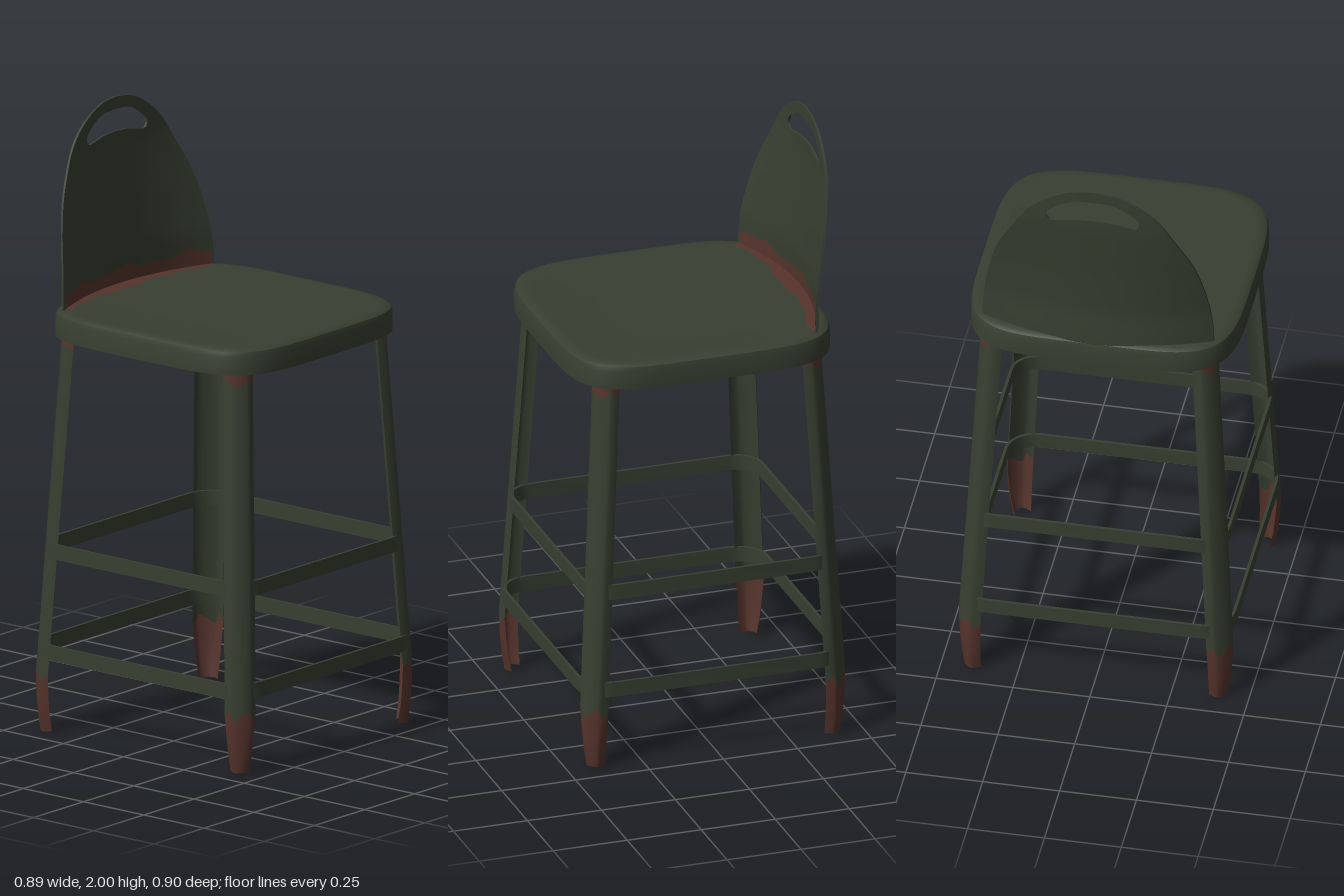
import * as THREE from 'three';
import { toCreasedNormals } from 'three/addons/utils/BufferGeometryUtils.js';

const V = (x, y, z) => new THREE.Vector3(x, y, z);

// Piecewise-linear lookup through [position, value] pairs
function ramp(pairs, t) {
  for (let i = 1; i < pairs.length; i++) {
    const [a, va] = pairs[i - 1], [b, vb] = pairs[i];
    if (t <= b) return THREE.MathUtils.lerp(va, vb, Math.max(0, (t - a) / (b - a)));
  }
  return pairs[pairs.length - 1][1];
}

// Skin a list of cross-sections with equal point counts
function loft(rows, closed, crease = 0.6) {
  const n = rows[0].length, pos = [], index = [];
  rows.forEach(row => row.forEach(p => pos.push(p.x, p.y, p.z)));
  for (let j = 0; j < rows.length - 1; j++) {
    for (let i = 0; i < (closed ? n : n - 1); i++) {
      const k = (i + 1) % n;
      const a = j * n + i, b = j * n + k, c = a + n, d = b + n;
      index.push(a, b, d, a, d, c);
    }
  }
  const g = new THREE.BufferGeometry();
  g.setAttribute('position', new THREE.Float32BufferAttribute(pos, 3));
  g.setIndex(index);
  return toCreasedNormals(g, crease);
}

// Rounded-square seat outline
function seatPoint(a, s, y) {
  const c = Math.cos(a), d = Math.sin(a), e = 2 / 4.6;
  return V(Math.sign(c) * Math.abs(c) ** e * 0.441 * s, y, Math.sign(d) * Math.abs(d) ** e * 0.446 * s);
}
const seatLoop = (s, y, n = 96) =>
  Array.from({ length: n }, (_, i) => seatPoint(-i / n * Math.PI * 2, s, y));

// Bent sheet of the backrest: depth at a given x and y
const CENTRE = [[1.3, -0.441], [1.4, -0.437], [1.5, -0.43], [1.65, -0.438], [1.85, -0.453], [2, -0.453]];
const BEND = [[1.3, 0.62], [1.66, 0.4], [2, 0.15]];
const backZ = (x, y) => ramp(CENTRE, y) + ramp(BEND, y) * x * x;

// Open channel section of a leg, facing outwards along +z
const SECTION = [[-1, -0.017], [-0.78, 0.008], [-0.55, 0.015], [0, 0.017], [0.55, 0.015], [0.78, 0.008], [1, -0.017]];
const LEG_R = [[0, 0.571], [0.08, 0.582], [0.2, 0.586], [1.37, 0.496]];
const LEG_HALF = [[0, 0.03], [0.06, 0.038], [0.19, 0.05], [1.37, 0.048]];
function legPiece(levels) {
  return loft(levels.map(y => SECTION.map(([t, r], i) => {
    // ragged edge where the paint has worn away
    const h = y === 0.19 ? y + 0.02 * Math.sin(i * 2.1) : y === 1.27 ? y + 0.015 * Math.sin(i * 1.7) : y;
    return V(t * ramp(LEG_HALF, h), h, r + ramp(LEG_R, h));
  })), false, 0.9);
}

// Flat bar bent into a rounded square ring
function railRing(half, radius, y) {
  const loop = (h, r, yy) => {
    const pts = [];
    for (let q = 0; q < 4; q++) {
      for (let i = 0; i <= 6; i++) {
        const a = q * Math.PI / 2 + i / 6 * Math.PI / 2;
        const cx = (q === 0 || q === 3 ? 1 : -1) * (h - r), cz = (q < 2 ? 1 : -1) * (h - r);
        pts.push(V(cx + r * Math.cos(a), yy, cz + r * Math.sin(a)));
      }
    }
    return pts;
  };
  const lo = y - 0.025, hi = y + 0.025, t = 0.01;
  return loft([loop(half, radius, hi), loop(half, radius, lo), loop(half - t, radius - t, lo),
    loop(half - t, radius - t, hi), loop(half, radius, hi)].reverse(), true);
}

export function createModel() {
  const paint = new THREE.MeshStandardMaterial({ color: 0x383f31, side: THREE.DoubleSide });
  paint.name = 'dark green paint';
  const rust = new THREE.MeshStandardMaterial({ color: 0x56342c, side: THREE.DoubleSide });
  rust.name = 'rust brown';

  const model = new THREE.Group();
  model.name = 'barStool';
  const add = (name, geometry, material, parent = model) => {
    const mesh = new THREE.Mesh(geometry, material);
    mesh.name = name;
    parent.add(mesh);
    return mesh;
  };

  // Pressed seat: slightly dished top, rounded edge, hollow underneath
  const profile = [[0.001, 1.378], [0.5, 1.379], [0.8, 1.382], [0.92, 1.386], [0.965, 1.385], [0.99, 1.377],
    [1, 1.362], [1, 1.302], [0.985, 1.302], [0.98, 1.36], [0.95, 1.37], [0.001, 1.37]];
  add('seat', loft(profile.map(([s, y]) => seatLoop(s, y)).reverse(), true), paint);
  add('seatRimRust', loft([seatLoop(0.983, 1.301), seatLoop(0.978, 1.345)], true), rust);

  // Backrest: sheet stretched between the hand slot and the outer outline
  const right = [V(0.375, 1.3, 0), V(0.375, 1.42, 0), V(0.36, 1.55, 0), V(0.322, 1.7, 0), V(0.267, 1.81, 0),
    V(0.21, 1.9, 0), V(0.14, 1.958, 0), V(0.07, 1.99, 0), V(0, 2, 0)];
  const slotHalf = [V(0, 1.885, 0), V(0.06, 1.882, 0), V(0.11, 1.872, 0), V(0.14, 1.869, 0), V(0.151, 1.885, 0),
    V(0.142, 1.912, 0), V(0.115, 1.937, 0), V(0.06, 1.955, 0), V(0, 1.959, 0)];
  const halfOuter = new THREE.CurvePath();
  halfOuter.add(new THREE.LineCurve3(V(0, 1.3, 0), right[0]));
  halfOuter.add(new THREE.CatmullRomCurve3(right, false, 'centripetal'));
  const mirrored = pts => [...pts, ...pts.slice(1, -1).reverse().map(p => V(-p.x, p.y, 0))];
  const N = 60, RINGS = 18;
  const outer = mirrored(halfOuter.getSpacedPoints(N).slice(0, N + 1));
  // settle the nearest sample onto the sharp lower corners
  for (const s of [1, -1]) {
    const corner = V(0.375 * s, 1.3, 0);
    outer.reduce((m, p) => p.distanceTo(corner) < m.distanceTo(corner) ? p : m).copy(corner);
  }
  const slot = mirrored(new THREE.CatmullRomCurve3(slotHalf, false, 'centripetal').getSpacedPoints(N));
  const ring = (f, dz) => outer.map((p, i) => {
    const q = slot[i].clone().lerp(p, f);
    return V(q.x, q.y, backZ(q.x, q.y) + dz);
  });
  const sheet = [];
  for (let j = 0; j <= RINGS; j++) sheet.push(ring(j / RINGS, 0.004));
  for (let j = RINGS; j >= 0; j--) sheet.push(ring(j / RINGS, -0.004));
  sheet.push(ring(0, 0.004));
  add('backrest', loft(sheet.reverse(), true), paint);

  // Worn strip along the joint of backrest and seat
  const COLS = 48, low = [], high = [], seatFront = [], seatBack = [];
  for (let i = 0; i <= COLS; i++) {
    const x = (i / COLS * 2 - 1) * 0.366;
    const top = 1.432 + 0.008 * Math.sin(x * 23 + 1) + 0.005 * Math.sin(x * 51);
    low.push(V(x, 1.37, backZ(x, 1.37) + 0.007));
    high.push(V(x, top, backZ(x, top) + 0.007));
    const edge = backZ(x, 1.39);
    const worn = -0.382 + 0.008 * Math.sin(x * 19 + 2) + 0.005 * Math.sin(x * 47) + 0.25 * x * x;
    seatBack.push(V(x, 1.388, edge + 0.004));
    seatFront.push(V(x, 1.3875, Math.max(worn, edge + 0.012)));
  }
  const mid = low.map((p, i) => {
    const y = (p.y + high[i].y) / 2;
    return V(p.x, y, backZ(p.x, y) + 0.007);
  });
  add('backrestRust', loft([low, mid, high], false), rust);
  add('seatRust', loft([seatFront, seatBack], false), rust);

  // Four splayed channel legs with worn feet and tops
  const foot = legPiece([0, 0.03, 0.06, 0.12, 0.19]);
  const shaft = legPiece([0.19, 0.6, 1.27]);
  const head = legPiece([1.27, 1.365]);
  ['frontLeft', 'backLeft', 'backRight', 'frontRight'].forEach((corner, k) => {
    const leg = new THREE.Group();
    leg.name = corner + 'Leg';
    leg.rotation.y = Math.PI / 4 + k * Math.PI / 2;
    add('foot', foot, rust, leg);
    add('shaft', shaft, paint, leg);
    add('legTop', head, rust, leg);
    model.add(leg);
  });

  // Foot rails
  add('lowerRails', railRing(0.445, 0.1, 0.27), paint);
  add('upperRails', railRing(0.425, 0.09, 0.6), paint);

  return model;
}
